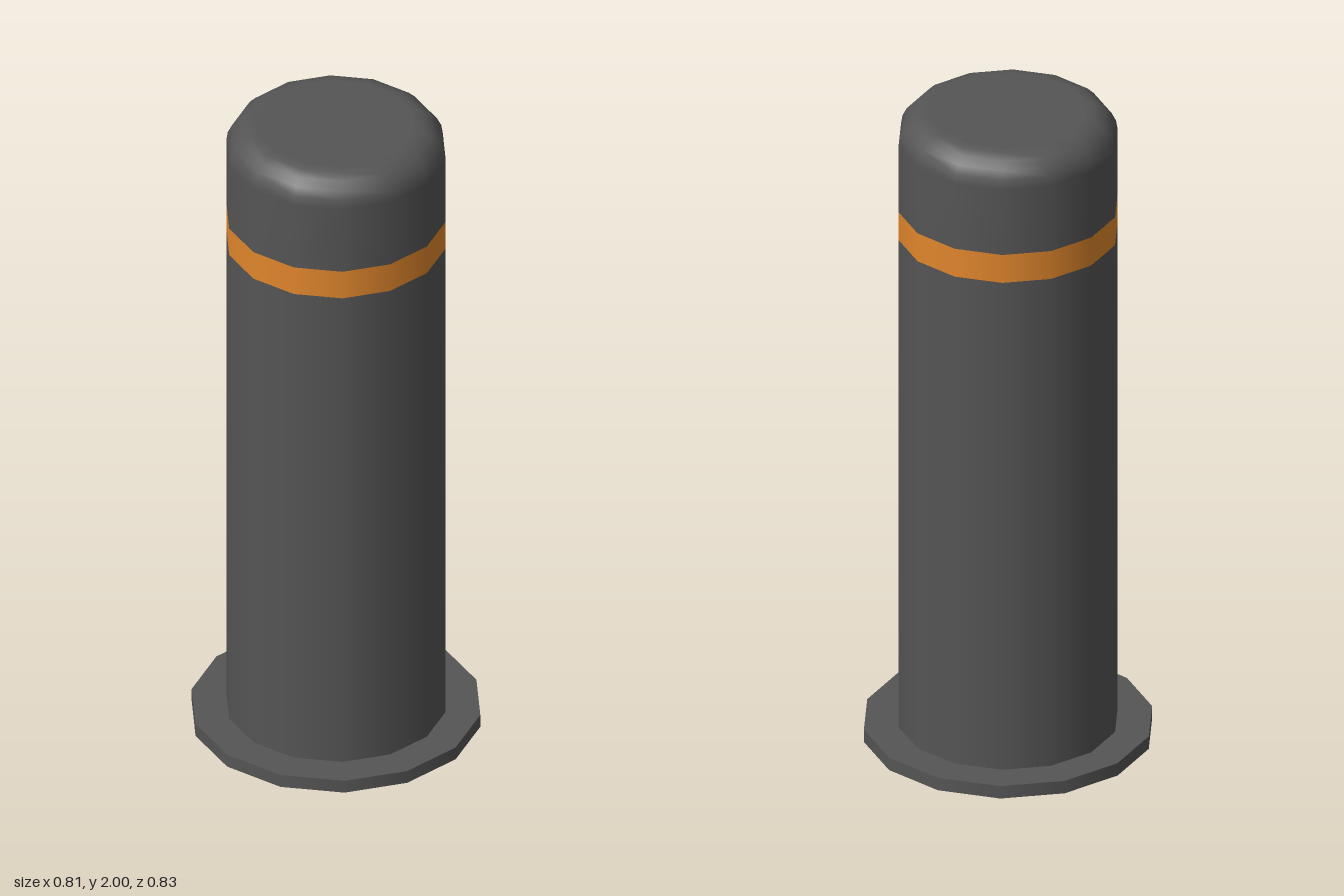
import * as THREE from 'three';

const SIDES = 14;
const RADIUS = 0.317;

export function createModel() {
  const group = new THREE.Group();
  const darkGrey = new THREE.MeshStandardMaterial({ color: 0x555555 });
  darkGrey.name = 'darkGrey';
  const orange = new THREE.MeshStandardMaterial({ color: 0xe0862c });
  orange.name = 'orange';

  const add = (name, geometry, material, y = 0) => {
    const mesh = new THREE.Mesh(geometry, material);
    mesh.name = name;
    mesh.position.y = y;
    group.add(mesh);
  };
  // Open cylindrical section of the post between two heights
  const section = (name, y0, y1, material) => add(name,
    new THREE.CylinderGeometry(RADIUS, RADIUS, y1 - y0, SIDES, 1, true), material, (y0 + y1) / 2);

  // Ground flange
  add('baseFlange', new THREE.CylinderGeometry(0.417, 0.417, 0.04, SIDES), darkGrey, 0.02);

  // Post with its painted band
  section('post', 0.04, 1.61, darkGrey);
  section('band', 1.61, 1.7, orange);

  // Cap: straight wall, rounded shoulder, flat top
  const fillet = 0.09;
  const profile = [new THREE.Vector2(RADIUS, 1.7)];
  for (let i = 0; i <= 5; i++) {
    const a = (i / 5) * Math.PI / 2;
    profile.push(new THREE.Vector2(
      RADIUS - fillet + fillet * Math.cos(a), 2 - fillet + fillet * Math.sin(a)));
  }
  profile.push(new THREE.Vector2(0, 2));
  add('cap', new THREE.LatheGeometry(profile, SIDES), darkGrey);

  return group;
}
